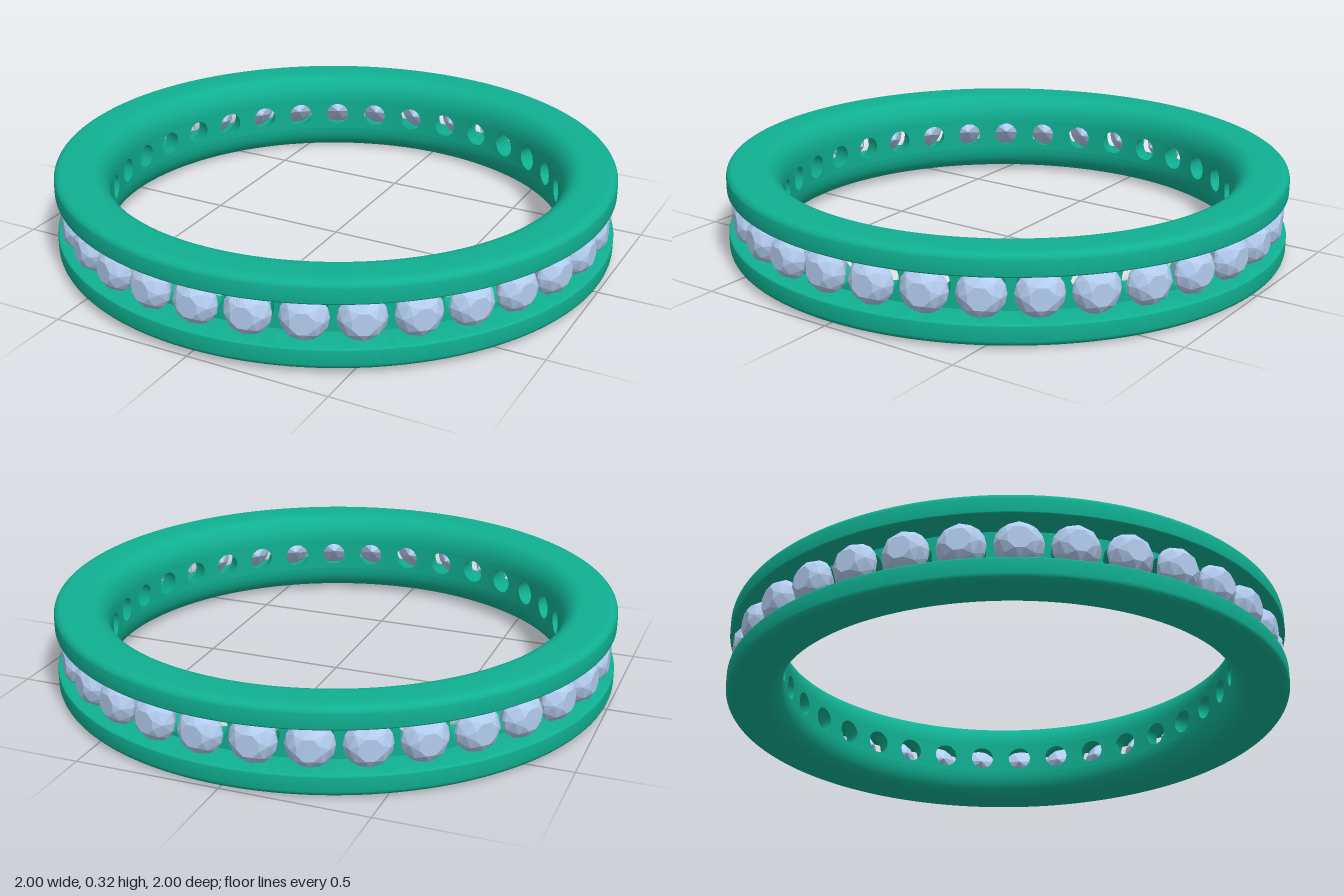
import * as THREE from 'three';
import { toCreasedNormals } from 'three/addons/utils/BufferGeometryUtils.js';
import { ParametricGeometry } from 'three/addons/geometries/ParametricGeometry.js';
import { ConvexGeometry } from 'three/addons/geometries/ConvexGeometry.js';

const STONES = 33;
const HALF = 0.152;      // half height of the band
const CHANNEL = 0.075;   // half height of the channel
const FLOOR = 0.89;      // radius of the channel floor
const INNER = 0.805;     // finger-side radius
const STRIP = 0.06;      // half height of the flat inner strip
const CELL = Math.PI / STONES;

// Closed-side profile of one rail, from the channel floor round to the inner wall
function railGeometry() {
  const p = new THREE.Path();
  p.moveTo(FLOOR, CHANNEL);
  p.lineTo(0.992, CHANNEL);
  p.quadraticCurveTo(1, CHANNEL, 1, CHANNEL + 0.008);
  p.lineTo(1, HALF - 0.03);
  p.quadraticCurveTo(1, HALF, 0.965, HALF);
  p.lineTo(0.875, HALF);
  p.bezierCurveTo(0.838, HALF, INNER, 0.11, INNER, STRIP);
  return toCreasedNormals(new THREE.LatheGeometry(p.getPoints(8), STONES * 8), 0.6);
}

// Point on the cylinder of radius r, at angle a from +z
const onCylinder = (r, a, y, target) => target.set(r * Math.sin(a), y, r * Math.cos(a));

// One cell of a cylindrical wall with a round hole; dir flips the facing
function piercedCell(r, halfHeight, hole, dir) {
  return new ParametricGeometry((u, v, target) => {
    const t = u * Math.PI * 2 * dir, c = Math.cos(t), s = Math.sin(t);
    const k = 1 / Math.max(Math.abs(c), Math.abs(s));
    const a = THREE.MathUtils.lerp(CELL * c * k, hole * c / r, v);
    const y = THREE.MathUtils.lerp(halfHeight * s * k, hole * s, v);
    onCylinder(r, a, y, target);
  }, 32, 4);
}

// Tapered bore joining the floor hole to the inner hole
function boreGeometry(outerHole, innerHole) {
  return new ParametricGeometry((u, v, target) => {
    const t = -u * Math.PI * 2;
    const r = THREE.MathUtils.lerp(INNER, FLOOR, v);
    const h = THREE.MathUtils.lerp(innerHole, outerHole, v);
    onCylinder(r, h * Math.cos(t) / r, h * Math.sin(t), target);
  }, 32, 2);
}

// Faceted round stone, table facing +z
function stoneGeometry() {
  const pts = [];
  const ring = (n, radius, z, turn = 0) => {
    for (let i = 0; i < n; i++) {
      const a = (i + turn) / n * Math.PI * 2;
      pts.push(new THREE.Vector3(radius * Math.cos(a), radius * Math.sin(a), z));
    }
  };
  ring(8, 0.04, 0.987, 0.5);   // table
  ring(8, 0.064, 0.97);        // crown
  ring(16, 0.079, 0.94);       // girdle, upper edge
  ring(16, 0.079, 0.93);       // girdle, lower edge
  ring(8, 0.05, 0.892, 0.5);   // pavilion
  pts.push(new THREE.Vector3(0, 0, 0.84));
  return new ConvexGeometry(pts);
}

export function createModel() {
  const model = new THREE.Group();
  const ring = new THREE.Group();
  ring.name = 'ring';
  ring.position.y = 0.16;
  ring.rotation.x = -0.008;
  model.add(ring);

  const metal = new THREE.MeshStandardMaterial({ color: 0x10b092, side: THREE.DoubleSide });
  const gem = new THREE.MeshStandardMaterial({ color: 0xb4cdf0, flatShading: true });

  const add = (parent, name, geometry, material) => {
    const mesh = new THREE.Mesh(geometry, material);
    mesh.name = name;
    parent.add(mesh);
    return mesh;
  };

  // Two rails, the lower one turned over
  const rail = railGeometry();
  add(ring, 'upperRail', rail, metal);
  add(ring, 'lowerRail', rail, metal).rotation.x = Math.PI;

  // Repeating seats and stones round the channel
  const floor = piercedCell(FLOOR, CHANNEL, 0.07, 1);
  const wall = piercedCell(INNER, STRIP, 0.044, -1);
  const bore = boreGeometry(0.07, 0.044);
  const stone = stoneGeometry();
  for (let i = 0; i < STONES; i++) {
    const setting = new THREE.Group();
    setting.name = 'setting';
    setting.rotation.y = i * CELL * 2;
    add(setting, 'channelFloor', floor, metal);
    add(setting, 'innerWall', wall, metal);
    add(setting, 'seatBore', bore, metal);
    add(setting, 'stone', stone, gem);
    ring.add(setting);
  }
  return model;
}
